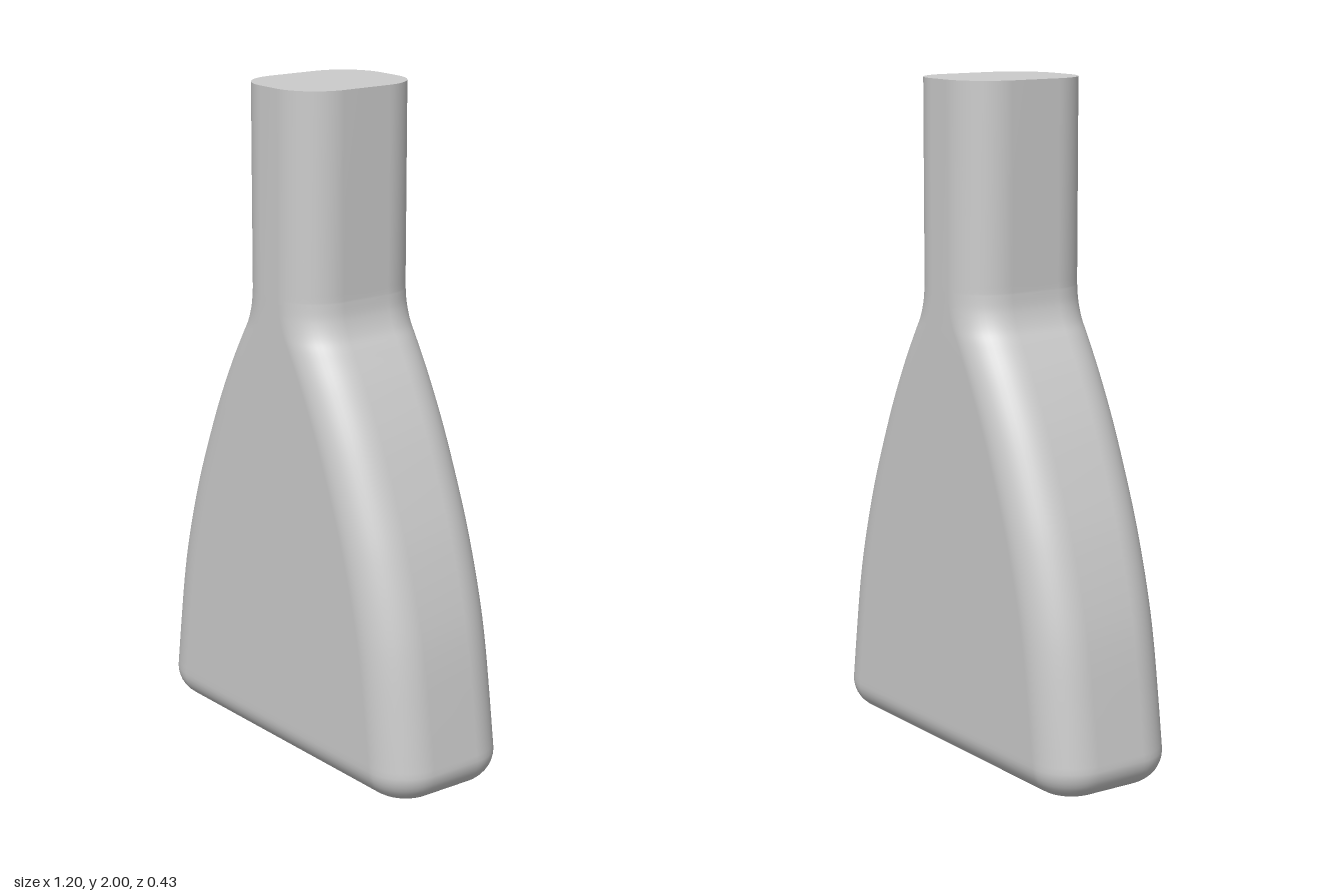
import * as THREE from 'three';

const DEPTH = 0.215, CORNER = 0.135, FILLET = 0.09, STEPS = 12;

// Rounded-rectangle outline at height y, running from +x towards +z
function outline(y, halfWidth, halfDepth, radius) {
  const points = [];
  const corners = [[1, 1], [-1, 1], [-1, -1], [1, -1]];
  corners.forEach(([sx, sz], q) => {
    for (let i = 0; i <= STEPS; i++) {
      const a = (q + i / STEPS) * Math.PI / 2;
      points.push(new THREE.Vector3(
        sx * (halfWidth - radius) + radius * Math.cos(a), y,
        sz * (halfDepth - radius) + radius * Math.sin(a)));
    }
  });
  return points;
}

// Smooth skin through a stack of outlines
function loft(rings) {
  const n = rings[0].length, index = [];
  for (let r = 0; r < rings.length - 1; r++) {
    for (let i = 0; i < n; i++) {
      const j = (i + 1) % n, a = r * n, b = a + n;
      index.push(a + i, b + i, a + j, a + j, b + i, b + j);
    }
  }
  const geometry = new THREE.BufferGeometry().setFromPoints(rings.flat());
  geometry.setIndex(index);
  geometry.computeVertexNormals();
  return geometry;
}

// Flat end closing one outline
function cap(ring, facesUp) {
  const n = ring.length, index = [];
  for (let i = 0; i < n; i++) {
    const j = (i + 1) % n;
    index.push(n, facesUp ? j : i, facesUp ? i : j);
  }
  const centre = new THREE.Vector3(0, ring[0].y, 0);
  const geometry = new THREE.BufferGeometry().setFromPoints([...ring, centre]);
  geometry.setIndex(index);
  geometry.computeVertexNormals();
  return geometry;
}

export function createModel() {
  const group = new THREE.Group();
  group.name = 'flaredNozzle';
  const material = new THREE.MeshStandardMaterial({ color: 0xcccccc });
  const rings = [];

  // Rounded bottom edge
  for (let i = 0; i < 10; i++) {
    const a = (i / 10) * Math.PI / 2;
    const inset = FILLET * (1 - Math.sin(a));
    rings.push(outline(FILLET * (1 - Math.cos(a)), 0.6 - inset, DEPTH - inset, CORNER - inset));
  }

  // Curved flare from the wide foot to the neck: [half width, height]
  const flare = new THREE.SplineCurve([
    [0.6, 0.09], [0.578, 0.25], [0.555, 0.4], [0.53, 0.52], [0.491, 0.66], [0.443, 0.8],
    [0.36, 1.0], [0.285, 1.15], [0.227, 1.25], [0.197, 1.3], [0.18, 1.35], [0.174, 1.4],
  ].map(([w, y]) => new THREE.Vector2(w, y)));
  flare.getPoints(66).forEach((p) => rings.push(outline(p.y, p.x, DEPTH, CORNER)));

  // Straight neck
  [1.42, 2].forEach((y) => rings.push(outline(y, 0.174, DEPTH, CORNER)));

  const add = (name, geometry) => {
    const mesh = new THREE.Mesh(geometry, material);
    mesh.name = name;
    group.add(mesh);
  };
  add('body', loft(rings));
  add('base', cap(rings[0], false));
  add('neckEnd', cap(rings[rings.length - 1], true));
  return group;
}
